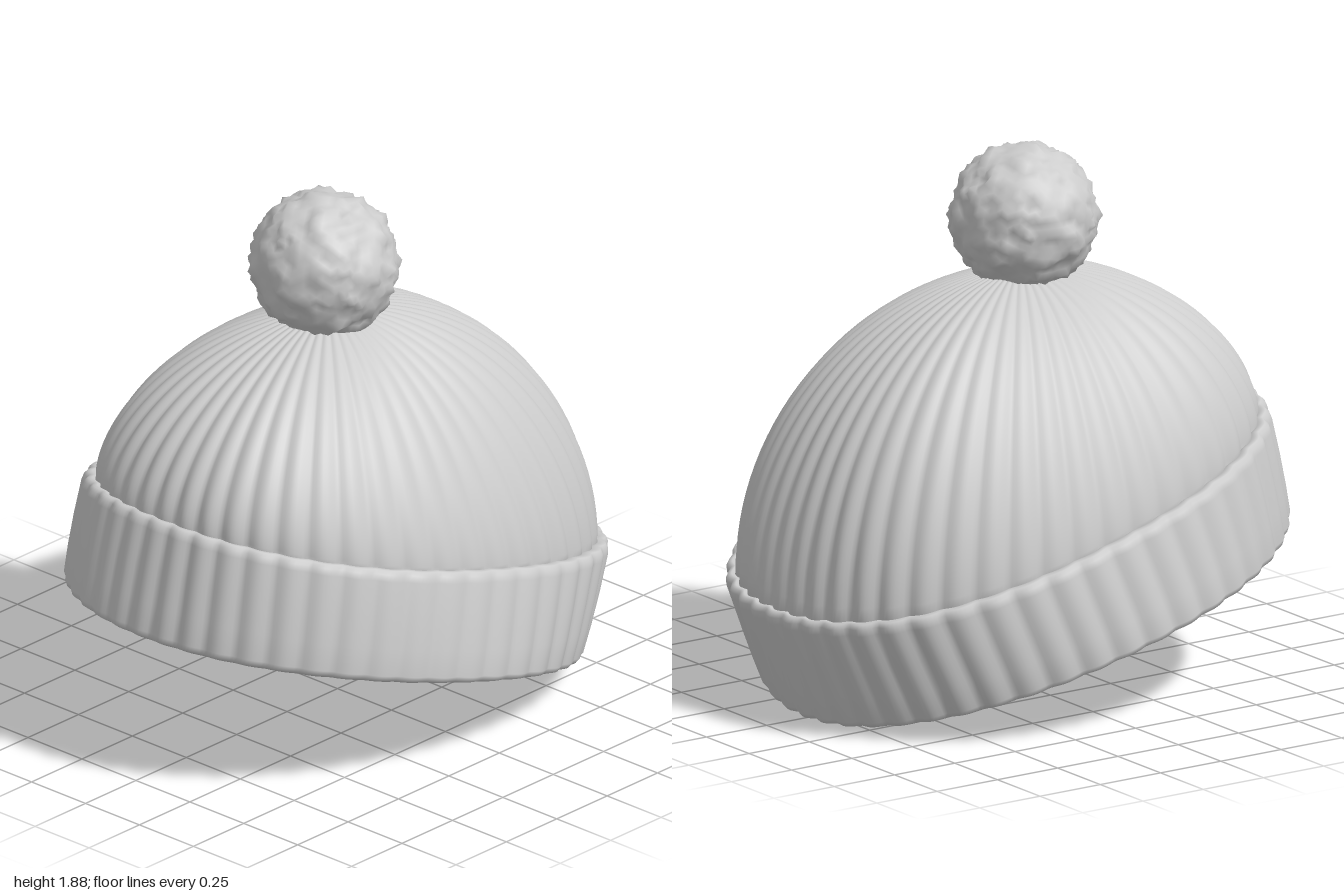
import * as THREE from 'three';
import { mergeVertices } from 'three/addons/utils/BufferGeometryUtils.js';

const RIBS = 48, SEG = RIBS * 8;

// Rounded knit rib: 1 on the crest, 0 in the groove
const rib = (a) => Math.abs(Math.cos(a * RIBS / 2)) ** 1.3;

// Surface through closed rings; point(row, angle) gives a Vector3
function loft(rows, point) {
  const pos = [], idx = [];
  for (let i = 0; i < rows; i++) {
    for (let j = 0; j < SEG; j++) {
      const p = point(i, j / SEG * Math.PI * 2);
      pos.push(p.x, p.y, p.z);
    }
  }
  for (let i = 0; i < rows - 1; i++) {
    for (let j = 0; j < SEG; j++) {
      const k = (j + 1) % SEG;
      const a = i * SEG + j, b = i * SEG + k, c = b + SEG, d = a + SEG;
      idx.push(a, b, c, a, c, d);
    }
  }
  const g = new THREE.BufferGeometry();
  g.setAttribute('position', new THREE.Float32BufferAttribute(pos, 3));
  g.setIndex(idx);
  g.computeVertexNormals();
  return g;
}

// Point on the tilted oval at height v of the cuff (0 bottom, 1 top); it gets squarer upwards
function tiltedOval(v, hx, hz, a) {
  const s = Math.sin(a), c = Math.cos(a), n = 2.06 + 0.26 * v;
  const k = (Math.abs(s) ** n + Math.abs(c) ** n) ** (-1 / n);
  const along = hz * c * k;
  // The hem arches at the sides and dips at the back
  const bend = (1 - v) * (0.035 * s * s - 0.012 * Math.max(-c, 0) ** 2);
  return new THREE.Vector3(
    hx * s * k,
    0.278 + 0.38 * v + 0.277 * along + bend,
    0.075 - 0.12 * v + 0.961 * along,
  );
}

function cuffGeometry() {
  // [height, half width, half length, rib depth]: down the lining, round the hem, up the outside
  const section = [
    [0.98, 0.69, 0.933, 0.005], [0.6, 0.712, 0.915, 0.005], [0.12, 0.738, 0.89, 0.005],
    [0.03, 0.75, 0.9, 0.005], [-0.01, 0.77, 0.918, 0.007], [-0.02, 0.788, 0.938, 0.01],
    [0, 0.806, 0.956, 0.014], [0.05, 0.814, 0.966, 0.015], [0.3, 0.803, 0.974, 0.015],
    [0.6, 0.785, 0.982, 0.015], [0.92, 0.762, 0.988, 0.015], [0.98, 0.754, 0.985, 0.015],
    [1.015, 0.742, 0.975, 0.015], [1.02, 0.727, 0.961, 0.015], [1.0, 0.705, 0.943, 0.01],
    [0.98, 0.69, 0.933, 0.005],
  ];
  return loft(section.length, (i, a) => {
    const [v, hx, hz, depth] = section[i];
    const k = 1 - depth * (1 - rib(a));
    return tiltedOval(v, hx * k, hz * k, a);
  });
}

function domeGeometry() {
  const rows = 32, apex = new THREE.Vector3(0, 1.445, 0.05), core = new THREE.Vector3(0, 0.65, 0);
  return loft(rows, (i, a) => {
    const s = Math.sin(a), c = Math.cos(a);
    // First row is tucked down inside the cuff
    if (i === 0) return tiltedOval(0.9, 0.702, 0.942, a);
    const f = (i - 1) / (rows - 2) * Math.PI / 2;
    const base = tiltedOval(1, 0.71, 0.955, a);
    const power = 1 + 0.38 * s ** 4 + 0.2 * Math.max(c, 0) ** 2;
    const r = Math.cos(f), h = Math.sin(f) ** power;
    const p = new THREE.Vector3(
      base.x * r,
      base.y + (apex.y - base.y) * h,
      apex.z + (base.z - apex.z) * r,
    );
    return p.lerp(core, 0.018 * r * (1 - rib(a)));
  });
}

function pompomGeometry() {
  let g = new THREE.IcosahedronGeometry(1, 11);
  g.deleteAttribute('normal');
  g.deleteAttribute('uv');
  g = mergeVertices(g, 1e-4);
  let seed = 7;
  const random = () => (seed = (seed * 16807) % 2147483647) / 2147483647;
  const p = g.attributes.position, v = new THREE.Vector3();
  // Broad lumps with short random tufts
  for (let i = 0; i < p.count; i++) {
    v.fromBufferAttribute(p, i).normalize();
    const lump = Math.sin(8 * v.x + 2 * v.y) * Math.sin(9 * v.y + 2 * v.z) * Math.sin(8 * v.z + 1);
    v.multiplyScalar(0.25 * (0.98 + 0.035 * lump + 0.08 * random() ** 3));
    p.setXYZ(i, v.x, v.y, v.z);
  }
  g.computeVertexNormals();
  return g;
}

export function createModel() {
  const group = new THREE.Group();
  group.name = 'bobbleHat';
  const wool = new THREE.MeshStandardMaterial({ color: 0xcccccc, side: THREE.DoubleSide });
  wool.name = 'greyWool';
  const add = (name, geometry) => {
    const mesh = new THREE.Mesh(geometry, wool);
    mesh.name = name;
    group.add(mesh);
    return mesh;
  };
  add('ribbedDome', domeGeometry());
  add('foldedCuff', cuffGeometry());
  add('pompom', pompomGeometry()).position.set(0, 1.615, 0.066);
  return group;
}
